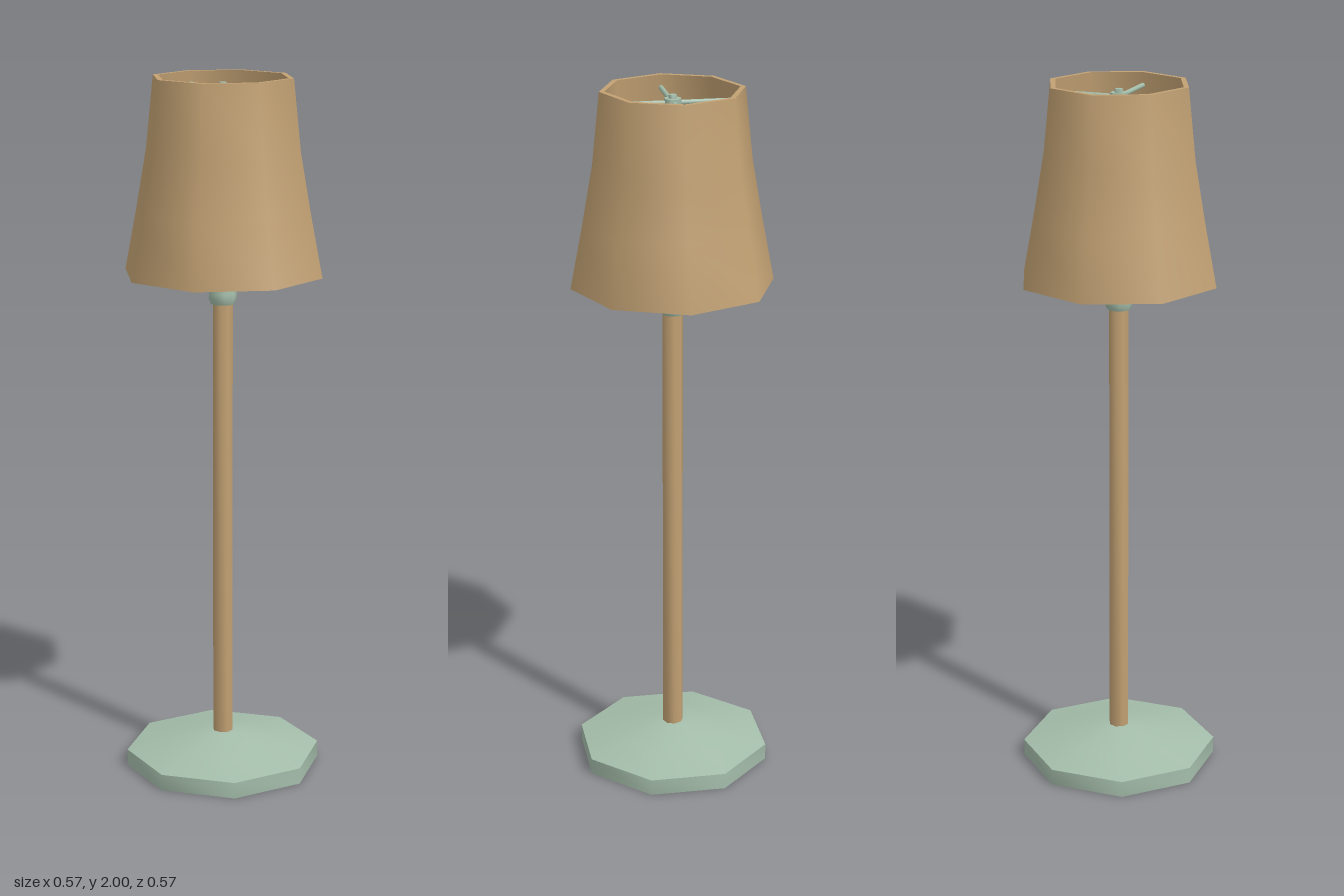
import * as THREE from 'three';
import { toCreasedNormals } from 'three/addons/utils/BufferGeometryUtils.js';

export function createModel() {
  const model = new THREE.Group();
  model.name = 'floorLamp';

  const tan = new THREE.MeshStandardMaterial({ color: 0xc2a173 });
  tan.name = 'warm tan';
  const sage = new THREE.MeshStandardMaterial({ color: 0xa4bdaa });
  sage.name = 'sage green';
  const sageShell = new THREE.MeshStandardMaterial({ color: 0xa4bdaa, side: THREE.DoubleSide });
  sageShell.name = 'sage green shell';

  // Eight-sided turned part; phi chooses corners or flats on the axes
  function turned(name, profile, material, phi = 0) {
    const points = profile.map(([r, y]) => new THREE.Vector2(r, y));
    const geometry = toCreasedNormals(new THREE.LatheGeometry(points, 8, phi), 0.9);
    const mesh = new THREE.Mesh(geometry, material);
    mesh.name = name;
    model.add(mesh);
    return mesh;
  }
  const flat = Math.PI / 8;

  // Hollow base, open underneath
  turned('base', [[0.281, 0], [0.281, 0.047], [0.17, 0.071], [0.05, 0.098], [0, 0.1]], sageShell, flat);

  // Pole and the thinner stem inside the shade
  turned('pole', [[0, 0.085], [0.029, 0.085], [0.029, 1.38], [0, 1.38]], tan);
  turned('stem', [[0, 1.5], [0.014, 1.5], [0.014, 1.96], [0, 1.96]], tan);

  // Socket at the head of the pole
  turned('socket', [[0, 1.37], [0.034, 1.37], [0.04, 1.385], [0.039, 1.4], [0.03, 1.475],
    [0.024, 1.52], [0, 1.52]], sage, flat);

  // Hub and finial at the top of the stem
  turned('hub', [[0, 1.945], [0.024, 1.945], [0.024, 1.975], [0, 1.975]], sage, flat);
  turned('finial', [[0, 1.97], [0.013, 1.97], [0.011, 1.985], [0, 1.985]], sage, flat);

  // Flared shade with a real wall thickness
  turned('shade', [
    [0.27, 1.455], [0.285, 1.455], [0.251, 1.63], [0.221, 1.8], [0.2, 2],
    [0.185, 2], [0.206, 1.8], [0.236, 1.63], [0.27, 1.455],
  ], tan);

  // Two four-armed spiders carrying the shade
  for (const [name, y, length] of [['upperArm', 1.963, 0.188], ['lowerArm', 1.497, 0.264]]) {
    const geometry = new THREE.CylinderGeometry(0.007, 0.007, length, 8);
    geometry.rotateZ(Math.PI / 2).translate(length / 2, 0, 0);
    for (let i = 0; i < 4; i++) {
      const arm = new THREE.Mesh(geometry, sage);
      arm.name = name;
      arm.position.y = y;
      arm.rotation.y = i * Math.PI / 2;
      model.add(arm);
    }
  }

  return model;
}
